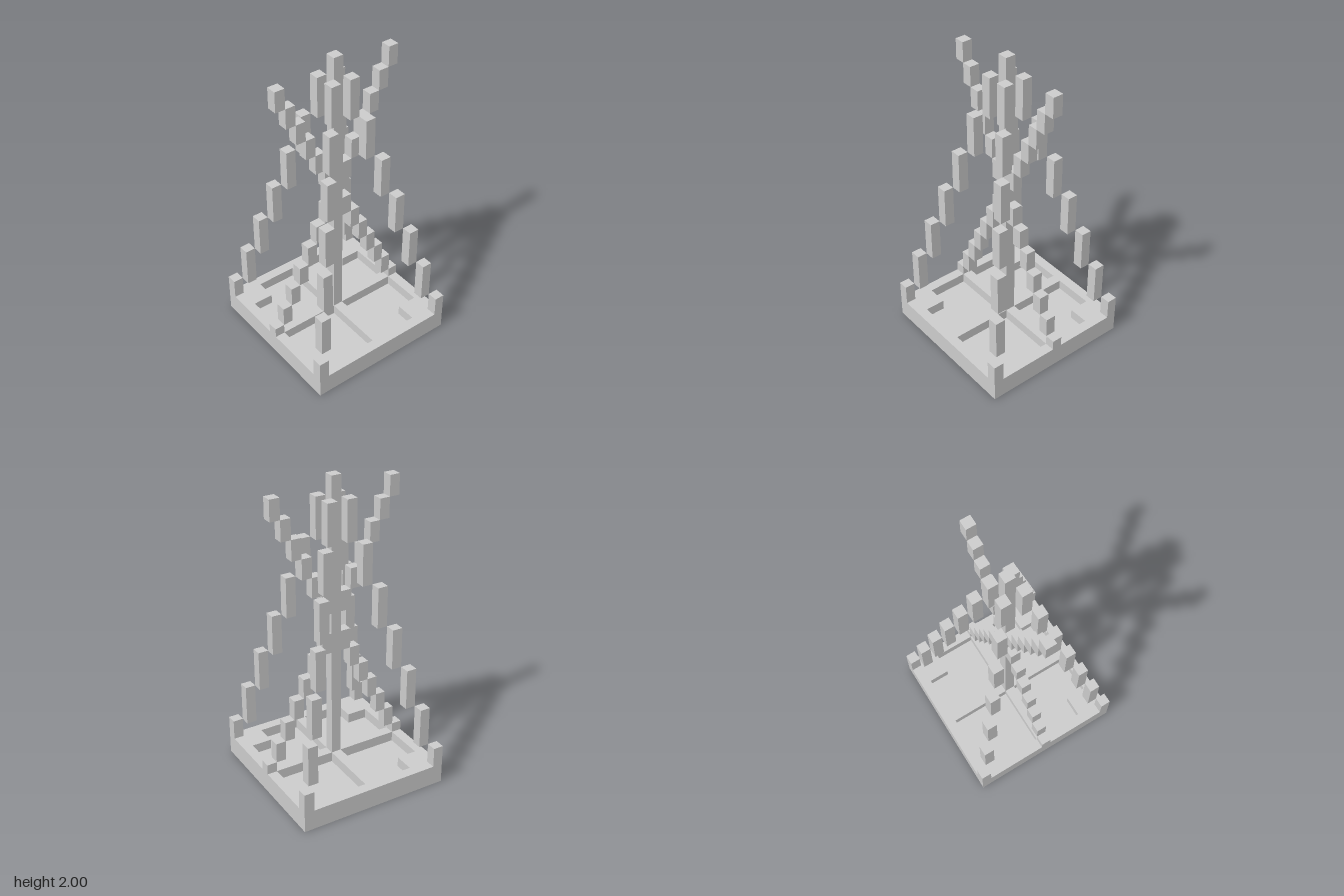
import * as THREE from 'three';

// One grid cell: the model is 15 x 30 x 15 cells
const U = 1 / 15;
const material = new THREE.MeshStandardMaterial({ color: 0xcccccc, flatShading: true });

// Square post centred on cell (i, k), running from cell height y0 to y1
function post(name, i, k, y0, y1, width = 1) {
  const mesh = new THREE.Mesh(new THREE.BoxGeometry(width * U, (y1 - y0) * U, width * U), material);
  mesh.position.set(i * U, ((y0 + y1) / 2) * U, k * U);
  mesh.name = name;
  return mesh;
}

// Upper base layer: rim, cross ribs and corner pads around four recesses
function baseFrame() {
  const h = 7.5 * U;
  const shape = new THREE.Shape([[-h, -h], [h, -h], [h, h], [-h, h]].map(p => new THREE.Vector2(...p)));
  const recess = [[0.5, 0.5], [6.5, 0.5], [6.5, 4.5], [4.5, 4.5], [4.5, 6.5], [0.5, 6.5]];
  for (const sx of [-1, 1]) for (const sz of [-1, 1]) {
    shape.holes.push(new THREE.Path(recess.map(([x, z]) => new THREE.Vector2(sx * x * U, sz * z * U))));
  }
  const geometry = new THREE.ExtrudeGeometry(shape, { depth: U, bevelEnabled: false });
  geometry.rotateX(-Math.PI / 2);
  geometry.translate(0, U, 0);
  const mesh = new THREE.Mesh(geometry, material);
  mesh.name = 'baseFrame';
  return mesh;
}

export function createModel() {
  const model = new THREE.Group();
  model.name = 'steppedTower';

  // Base and central column
  model.add(post('baseSlab', 0, 0, 0, 1, 15), baseFrame(), post('centralColumn', 0, 0, 1, 30));

  // Four stepped legs climbing from the corners to the column
  for (const sx of [-1, 1]) for (const sz of [-1, 1]) {
    const leg = new THREE.Group();
    leg.name = 'cornerLeg';
    for (let k = 1; k <= 7; k++) {
      const top = 32 - 4 * k;
      leg.add(post('legStep', sx * k, sz * k, k === 7 ? 2 : top - 4, top));
    }
    model.add(leg);
  }

  // Crossing stepped braces in the middle plane, mirrored left and right
  for (const sx of [-1, 1]) {
    const lower = new THREE.Group();
    const upper = new THREE.Group();
    lower.name = 'lowerBrace';
    upper.name = 'upperBrace';
    for (let k = 1; k <= 7; k++) {
      lower.add(post('braceStep', sx * k, 0, k === 7 ? 2 : 15 - 2 * k, 17 - 2 * k));
      if (k < 7) upper.add(post('braceStep', sx * k, 0, 15 + 2 * k, 17 + 2 * k));
    }
    model.add(lower, upper);
  }
  return model;
}
